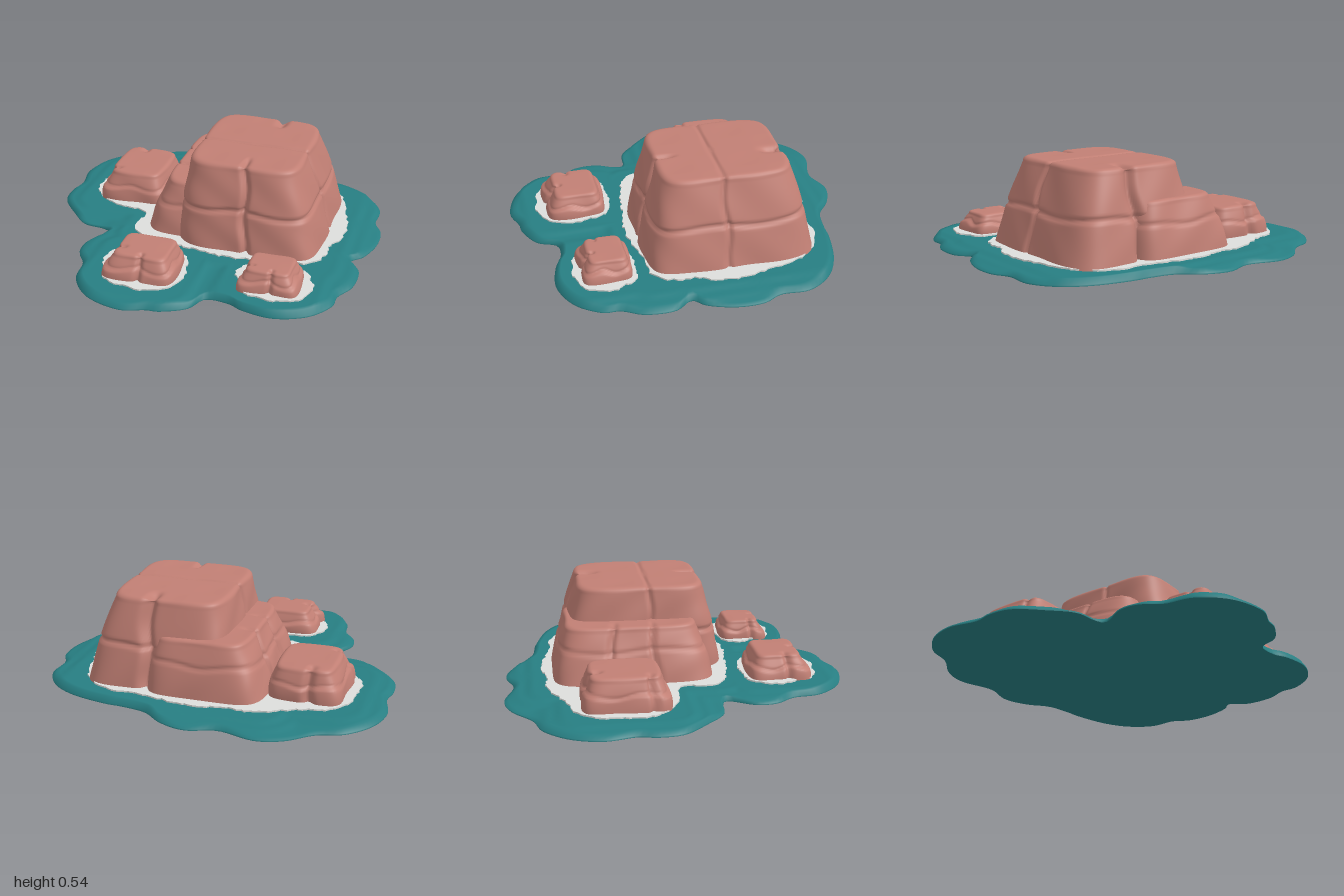
import * as THREE from 'three';

const flat = (name, color) => {
  const m = new THREE.MeshStandardMaterial({ color });
  m.name = name;
  return m;
};
const mix = THREE.MathUtils.lerp;
const step = THREE.MathUtils.smoothstep;

// Skin a stack of closed rings (arrays of [x, y, z] of equal length)
function loft(rings) {
  const n = rings[0].length, index = [];
  for (let j = 0; j < rings.length - 1; j++) {
    for (let i = 0; i < n; i++) {
      const a = j * n + i, b = j * n + (i + 1) % n;
      index.push(a, a + n, b, b, a + n, b + n);
    }
  }
  const g = new THREE.BufferGeometry();
  g.setAttribute('position', new THREE.Float32BufferAttribute(rings.flat(2), 3));
  g.setIndex(index);
  g.computeVertexNormals();
  return g;
}

// Smooth closed curve through [x, z] pairs, sampled evenly
function outline(points, count, tension = 0.5) {
  const v = points.map(([x, z]) => new THREE.Vector3(x, 0, z));
  return new THREE.CatmullRomCurve3(v, true, 'catmullrom', tension).getSpacedPoints(count).slice(0, count);
}

// Rocks: base and top are [x0, x1, z0, z1]
// Cracks: axis, position, side of the rock (0 = all round), width, depth, lean
const ROCKS = [
  { name: 'mainRock', base: [-0.14, 0.71, -0.67, 0.3], top: [-0.09, 0.56, -0.55, 0.19], h: 0.535, r: 0.03, seg: 240, rows: 40,
    cracks: [
      { axis: 'y', at: 0.275, side: 0, w: 0.011, d: 0.016, lean: 0 },
      { axis: 'x', at: 0.28, side: 1, w: 0.018, d: 0.035, lean: -0.06 },
      { axis: 'x', at: 0.31, side: -1, w: 0.03, d: 0.05, lean: 0.04 },
      { axis: 'z', at: -0.14, side: 0, w: 0.013, d: 0.018, lean: 0.03 }] },
  { name: 'shoulderRock', base: [-0.36, 0.33, -0.71, 0.22], top: [-0.25, 0.28, -0.63, 0.12], h: 0.35, r: 0.025, seg: 200, rows: 26,
    cracks: [
      { axis: 'y', at: 0.22, side: 0, w: 0.01, d: 0.01, lean: 0 },
      { axis: 'z', at: -0.38, side: -1, w: 0.016, d: 0.025, lean: 0.1 },
      { axis: 'z', at: -0.13, side: -1, w: 0.014, d: 0.022, lean: -0.06 }] },
  { name: 'leftRock', base: [-0.76, -0.35, -0.56, -0.1], top: [-0.71, -0.38, -0.53, -0.14], h: 0.222, r: 0.025, ledge: 0.018,
    cracks: [
      { axis: 'y', at: 0.13, side: 0, w: 0.008, d: 0.008, lean: 0 },
      { axis: 'x', at: -0.59, side: -1, w: 0.025, d: 0.03, lean: 0.1 },
      { axis: 'z', at: -0.2, side: -1, w: 0.018, d: 0.025, lean: 0.1 }] },
  { name: 'frontRock', base: [-0.39, 0.0, 0.42, 0.76], top: [-0.34, -0.03, 0.45, 0.71], h: 0.175, r: 0.022, ledge: 0.018,
    cracks: [
      { axis: 'y', at: 0.105, side: 0, w: 0.008, d: 0.008, lean: 0 },
      { axis: 'x', at: -0.18, side: 1, w: 0.016, d: 0.025, lean: 0.1 },
      { axis: 'z', at: 0.62, side: -1, w: 0.018, d: 0.022, lean: 0 }] },
  { name: 'smallRock', base: [0.36, 0.68, 0.39, 0.66], top: [0.39, 0.64, 0.41, 0.62], h: 0.157, r: 0.02, ledge: 0.014,
    cracks: [
      { axis: 'y', at: 0.1, side: 0, w: 0.008, d: 0.008, lean: 0 },
      { axis: 'x', at: 0.53, side: 1, w: 0.014, d: 0.02, lean: 0.1 },
      { axis: 'z', at: 0.56, side: -1, w: 0.014, d: 0.018, lean: 0 }] },
];

// Tapered, rounded block with cracks pressed in by a rule
function rockGeometry({ base, top, h, r, seg = 128, rows = 20, ledge = 0, cracks }) {
  const y0 = 0.02, levels = [];
  for (let j = 0; j <= rows; j++) {
    const t = j / rows;
    levels.push({ y: mix(y0, h - r, t), k: t, inset: 0, scale: 1, flat: 0 });
  }
  for (let j = 1; j <= 5; j++) {
    const a = j / 5 * Math.PI / 2;
    levels.push({ y: h - r + r * Math.sin(a), k: 1, inset: r * (1 - Math.cos(a)), scale: 1, flat: j / 5 });
  }
  const tops = Math.round(rows * 0.7);
  for (let j = 1; j <= tops; j++) levels.push({ y: h, k: 1, inset: r, scale: 1 - j / tops, flat: 1 });

  return loft(levels.map((L) => {
    const [x0, x1, z0, z1] = base.map((b, i) => mix(b, top[i], L.k));
    const cx = (x0 + x1) / 2, cz = (z0 + z1) / 2;
    const bulge = 0.012 * Math.sin(L.k * Math.PI) - L.inset;
    const hx = (x1 - x0) / 2 + bulge, hz = (z1 - z0) / 2 + bulge;
    return Array.from({ length: seg }, (_, i) => {
      const a = i / seg * Math.PI * 2, c = Math.cos(a), s = Math.sin(a);
      const q = L.scale * (Math.abs(c) ** 6 + Math.abs(s) ** 6) ** (-1 / 6);
      const p = { x: cx + hx * q * c, y: L.y, z: cz + hz * q * s };
      let dent = 0.005 * Math.sin(p.x * 19 + p.y * 13) * Math.sin(p.z * 17 - p.y * 11) * L.scale;
      for (const k of cracks) {
        const wave = 0.01 * Math.sin(k.axis === 'y' ? a * 5 : p.y * 20);
        const dist = (p[k.axis] - k.at - wave - k.lean * (p.y - h / 2)) / k.w;
        let fade = k.axis === 'y' ? 1 - L.flat : 1;
        if (k.side) fade = step(k.side * q * (k.axis === 'x' ? s : c), 0.6, 0.9);
        dent += k.d * fade * Math.exp(-dist * dist);
        if (k.axis === 'y') dent -= ledge * (1 - step(dist, -1, 1)) * (0.6 + 0.4 * Math.sin(a * 3 + 1));
      }
      const len = Math.hypot(p.x - cx, p.z - cz) || 1, f = 1 - dent * (1 - L.flat * 0.7) * L.scale / len;
      return [cx + (p.x - cx) * f, p.y - Math.max(dent, 0) * L.flat * 0.6, cz + (p.z - cz) * f];
    });
  }));
}

// Water: scalloped sheet that swells gently around every rock
const SHORE = [[-0.69, -0.83], [-0.55, -0.94], [-0.4, -0.98], [-0.2, -0.93], [-0.03, -0.975], [0.12, -0.93], [0.24, -0.84],
  [0.38, -0.81], [0.5, -0.8], [0.7, -0.75], [0.85, -0.66], [0.94, -0.52], [0.94, -0.36], [0.99, -0.25], [0.99, -0.1],
  [0.94, 0.05], [0.88, 0.12], [0.945, 0.22], [0.94, 0.38], [0.88, 0.5], [0.87, 0.6], [0.77, 0.73], [0.6, 0.8], [0.43, 0.78],
  [0.34, 0.74], [0.21, 0.74], [0.15, 0.85], [0.02, 0.92], [-0.06, 0.93], [-0.2, 0.97], [-0.4, 0.91], [-0.53, 0.77],
  [-0.56, 0.61], [-0.63, 0.5], [-0.635, 0.38], [-0.56, 0.24], [-0.61, 0.2], [-0.74, 0.18], [-0.85, 0.08], [-0.97, -0.06],
  [-0.99, -0.2], [-0.97, -0.31], [-1, -0.48], [-0.95, -0.65], [-0.83, -0.78]];

function waterHeight(x, z) {
  let d = 1;
  for (const { base: [x0, x1, z0, z1] } of ROCKS) {
    d = Math.min(d, Math.hypot(Math.max(x0 - x, 0, x - x1), Math.max(z0 - z, 0, z - z1)));
  }
  const ripple = d > 0.09 ? 0.003 * Math.sin((d - 0.09) * 70) * (1 - step(d, 0.18, 0.3)) : 0;
  return mix(0.038, 0.01, step(d, 0.08, 0.32)) + ripple;
}

function waterGeometry() {
  const edge = outline(SHORE, 220), cx = 0.03, cz = -0.03, rows = 44;
  const ring = (s, y) => edge.map((p) => {
    const x = mix(cx, p.x, s), z = mix(cz, p.z, s);
    return [x, y ?? waterHeight(x, z), z];
  });
  const rings = [ring(0, 0), ring(1, 0), ring(1, 0), ring(1, 0.008)];
  for (let j = 1; j <= rows; j++) rings.push(ring(1 - j / rows));
  return loft(rings);
}

// Foam: thin plates with ragged rims
const FOAM = {
  mainFoam: [[-0.43, -0.71], [-0.3, -0.75], [-0.2, -0.74], [0, -0.77], [0.2, -0.74], [0.35, -0.71], [0.5, -0.71], [0.62, -0.64],
    [0.7, -0.55], [0.74, -0.42], [0.77, -0.33], [0.8, -0.2], [0.79, -0.07], [0.74, 0.06], [0.74, 0.16], [0.66, 0.28], [0.5, 0.3],
    [0.4, 0.32], [0.2, 0.35], [0, 0.32], [-0.2, 0.3], [-0.38, 0.23], [-0.42, 0.13], [-0.4, 0.01], [-0.5, -0.03], [-0.62, -0.04],
    [-0.73, -0.11], [-0.81, -0.2], [-0.82, -0.32], [-0.79, -0.5], [-0.7, -0.61], [-0.55, -0.65]],
  frontFoam: [[-0.33, 0.39], [-0.1, 0.38], [0, 0.43], [0.03, 0.52], [0.05, 0.65], [0, 0.75], [-0.1, 0.81], [-0.22, 0.81],
    [-0.36, 0.77], [-0.4, 0.68], [-0.44, 0.55], [-0.4, 0.44]],
  smallFoam: [[0.36, 0.39], [0.5, 0.36], [0.67, 0.37], [0.72, 0.45], [0.75, 0.53], [0.71, 0.64], [0.62, 0.69], [0.5, 0.7],
    [0.37, 0.65], [0.35, 0.56], [0.31, 0.48]],
};

function foamGeometry(points) {
  let seed = 7;
  const rand = () => (seed = (seed * 16807) % 2147483647) / 2147483647 - 0.5;
  const rim = outline(points, points.length * 6)
    .map((p) => new THREE.Vector2(p.x + rand() * 0.018, p.z + rand() * 0.018));
  return new THREE.ExtrudeGeometry(new THREE.Shape(rim), { depth: 0.009, bevelEnabled: false })
    .rotateX(Math.PI / 2).translate(0, 0.047, 0);
}

export function createModel() {
  const group = new THREE.Group();
  group.name = 'rockIsland';
  const stone = flat('redStone', 0xc17f74), teal = flat('tealWater', 0x277e82), white = flat('foamWhite', 0xdcdedb);
  const add = (name, geometry, material) => {
    const mesh = new THREE.Mesh(geometry, material);
    mesh.name = name;
    group.add(mesh);
  };
  add('water', waterGeometry(), teal);
  for (const [name, points] of Object.entries(FOAM)) add(name, foamGeometry(points), white);
  for (const rock of ROCKS) add(rock.name, rockGeometry(rock), stone);
  return group;
}
